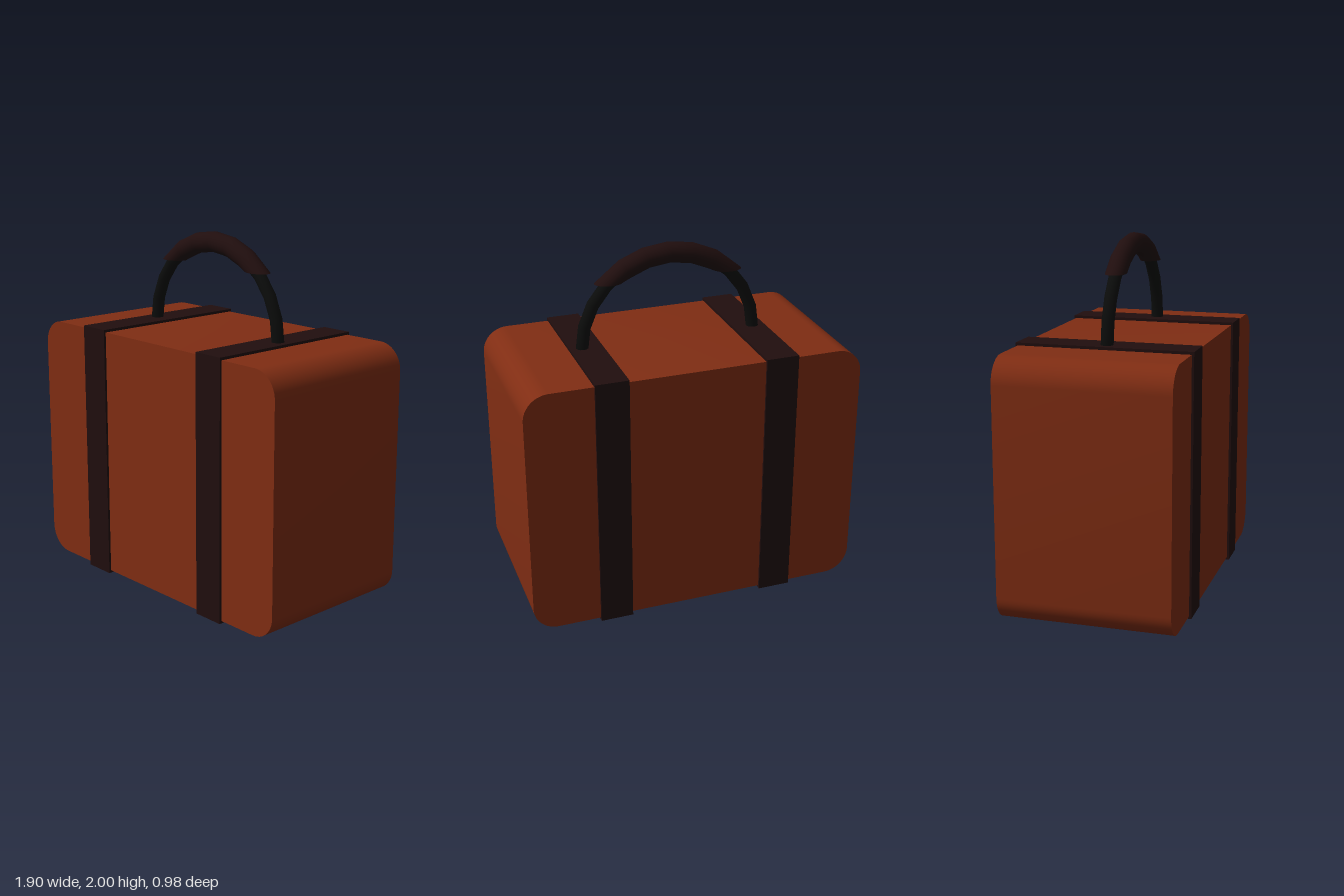
import * as THREE from 'three';
import { toCreasedNormals } from 'three/addons/utils/BufferGeometryUtils.js';

const material = (color) => new THREE.MeshStandardMaterial({ color });

export function createModel() {
  const model = new THREE.Group();
  model.name = 'suitcase';
  const leather = material(0x802d13);
  const strapLeather = material(0x200e0e);
  const gripLeather = material(0x200e0e);
  const rodBlack = material(0x0b0c0b);

  const add = (name, geometry, mat, x, y, z) => {
    const mesh = new THREE.Mesh(geometry, mat);
    mesh.name = name;
    mesh.position.set(x, y, z);
    model.add(mesh);
    return mesh;
  };

  // Case: rounded rectangle extruded from back to front, crisp front and back edges
  const w = 0.95, bottom = 0.015, top = 1.44, r = 0.14, depth = 0.95;
  const outline = new THREE.Shape();
  outline.absarc(w - r, bottom + r, r, -Math.PI / 2, 0);
  outline.absarc(w - r, top - r, r, 0, Math.PI / 2);
  outline.absarc(-w + r, top - r, r, Math.PI / 2, Math.PI);
  outline.absarc(-w + r, bottom + r, r, Math.PI, Math.PI * 1.5);
  outline.closePath();
  const caseGeometry = new THREE.ExtrudeGeometry(outline, { depth, bevelEnabled: false, curveSegments: 6 });
  add('case', toCreasedNormals(caseGeometry, 0.6), leather, 0, 0, -depth / 2);

  // Straps wrapping the case
  for (const side of [-1, 1]) {
    add(side > 0 ? 'leftStrap' : 'rightStrap',
      new THREE.BoxGeometry(0.185, 1.455, 0.975), strapLeather, side * 0.477, 0.7275, 0);
  }

  // Handle: half-ring rod rising from the straps
  const handleY = 1.443, handleR = 0.5, gripR = 0.057;
  add('handleRod', new THREE.TorusGeometry(handleR, 0.035, 12, 12, Math.PI), rodBlack, 0, handleY, 0);

  // Grip: thicker quarter ring whose ends slide along the arc to a level cut
  const steps = 6, cutY = 1.81 - handleY;
  const grip = new THREE.TorusGeometry(handleR, gripR, 16, steps, Math.PI / 2);
  grip.rotateZ(Math.PI / 4);
  const p = grip.attributes.position;
  for (let i = 0; i < p.count; i++) {
    const ring = i % (steps + 1);
    if (ring !== 0 && ring !== steps) continue;
    const side = ring === 0 ? 1 : -1;
    p.setXY(i, p.getX(i) + side * (p.getY(i) - cutY), cutY);
  }
  add('handleGrip', grip, gripLeather, 0, handleY, 0);

  // Caps under the grip ends
  const capX = handleR * Math.SQRT2 - cutY;
  for (const side of [-1, 1]) {
    const cap = new THREE.CircleGeometry(gripR, 16);
    cap.rotateX(Math.PI / 2);
    cap.scale(Math.SQRT2, 1, 1);
    add(side > 0 ? 'leftGripCap' : 'rightGripCap', cap, gripLeather, side * capX, 1.81, 0);
  }
  return model;
}
